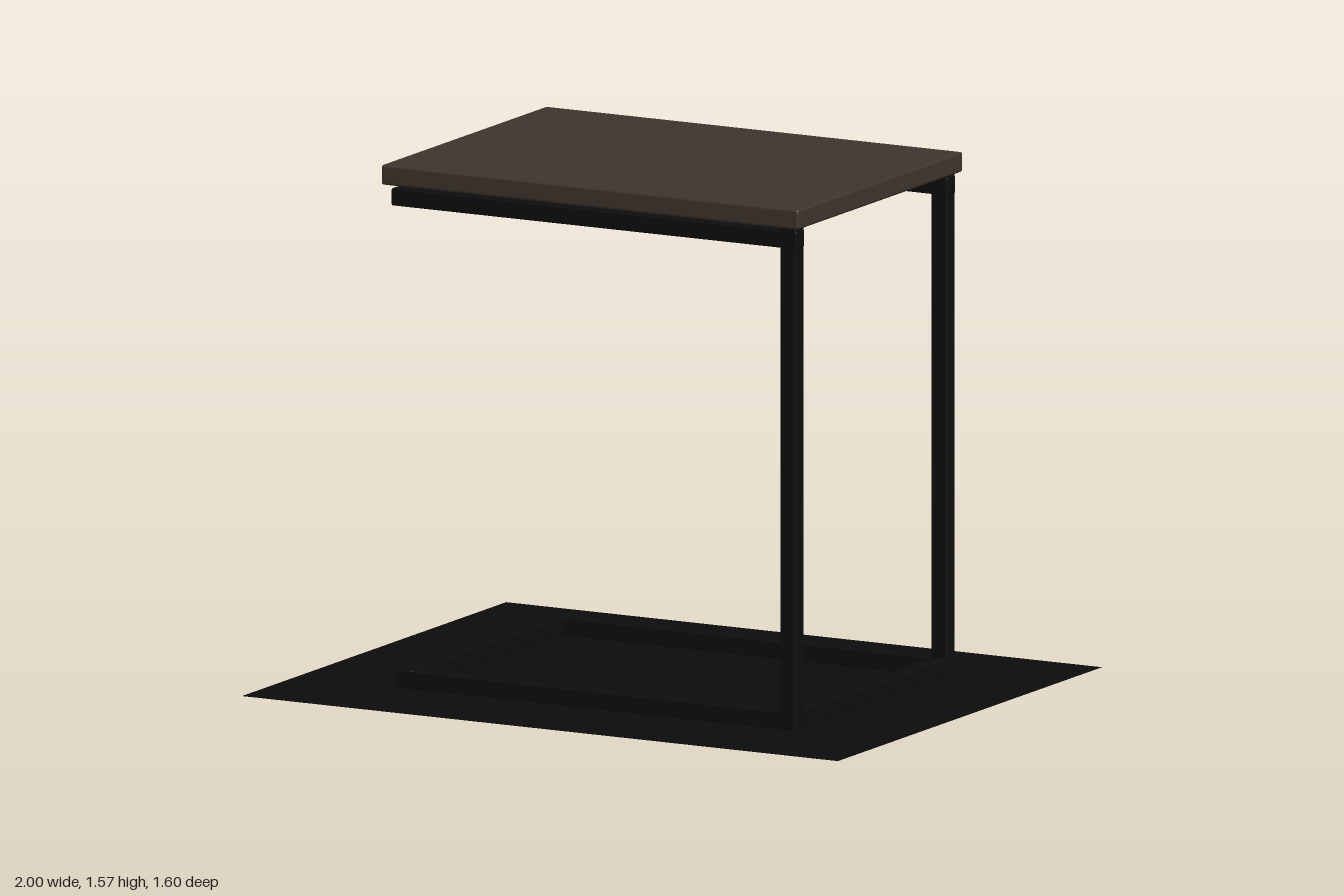
import * as THREE from 'three';
import { RoundedBoxGeometry } from 'three/addons/geometries/RoundedBoxGeometry.js';

export function createModel() {
  const group = new THREE.Group();
  const wood = new THREE.MeshStandardMaterial({ color: 0x3d342d });
  wood.name = 'dark wood';
  const metal = new THREE.MeshStandardMaterial({ color: 0x0d0d0d });
  metal.name = 'black metal';
  const floor = new THREE.MeshStandardMaterial({ color: 0x0c0c0c, side: THREE.DoubleSide });
  floor.name = 'black floor';

  // Softly rounded bar between two opposite corners
  function bar(name, material, [x0, y0, z0], [x1, y1, z1], radius = 0.004) {
    const geometry = new RoundedBoxGeometry(x1 - x0, y1 - y0, z1 - z0, 2, radius);
    const mesh = new THREE.Mesh(geometry, material);
    mesh.position.set((x0 + x1) / 2, (y0 + y1) / 2, (z0 + z1) / 2);
    mesh.name = name;
    group.add(mesh);
  }

  // Floor sheet
  const sheet = new THREE.Mesh(new THREE.PlaneGeometry(2, 1.6), floor);
  sheet.rotation.x = -Math.PI / 2;
  sheet.name = 'floorSheet';
  group.add(sheet);

  // Table top
  bar('tableTop', wood, [-0.7, 1.507, -0.5], [0.7, 1.567, 0.5], 0.008);

  // Front and back halves of the C-shaped frame
  for (const [side, z0, z1] of [['front', 0.432, 0.484], ['back', -0.484, -0.432]]) {
    bar(side + 'Leg', metal, [0.63, 0.004, z0], [0.682, 1.507, z1]);
    bar(side + 'TopRail', metal, [-0.674, 1.445, z0], [0.684, 1.497, z1]);
    bar(side + 'BaseRail', metal, [-0.65, 0.004, z0], [0.68, 0.056, z1]);
  }

  // Cross bars of the base
  bar('leftCrossBar', metal, [-0.656, 0.005, -0.484], [-0.604, 0.058, 0.484]);
  bar('rightCrossBar', metal, [0.629, 0.005, -0.47], [0.681, 0.057, 0.47]);

  return group;
}
